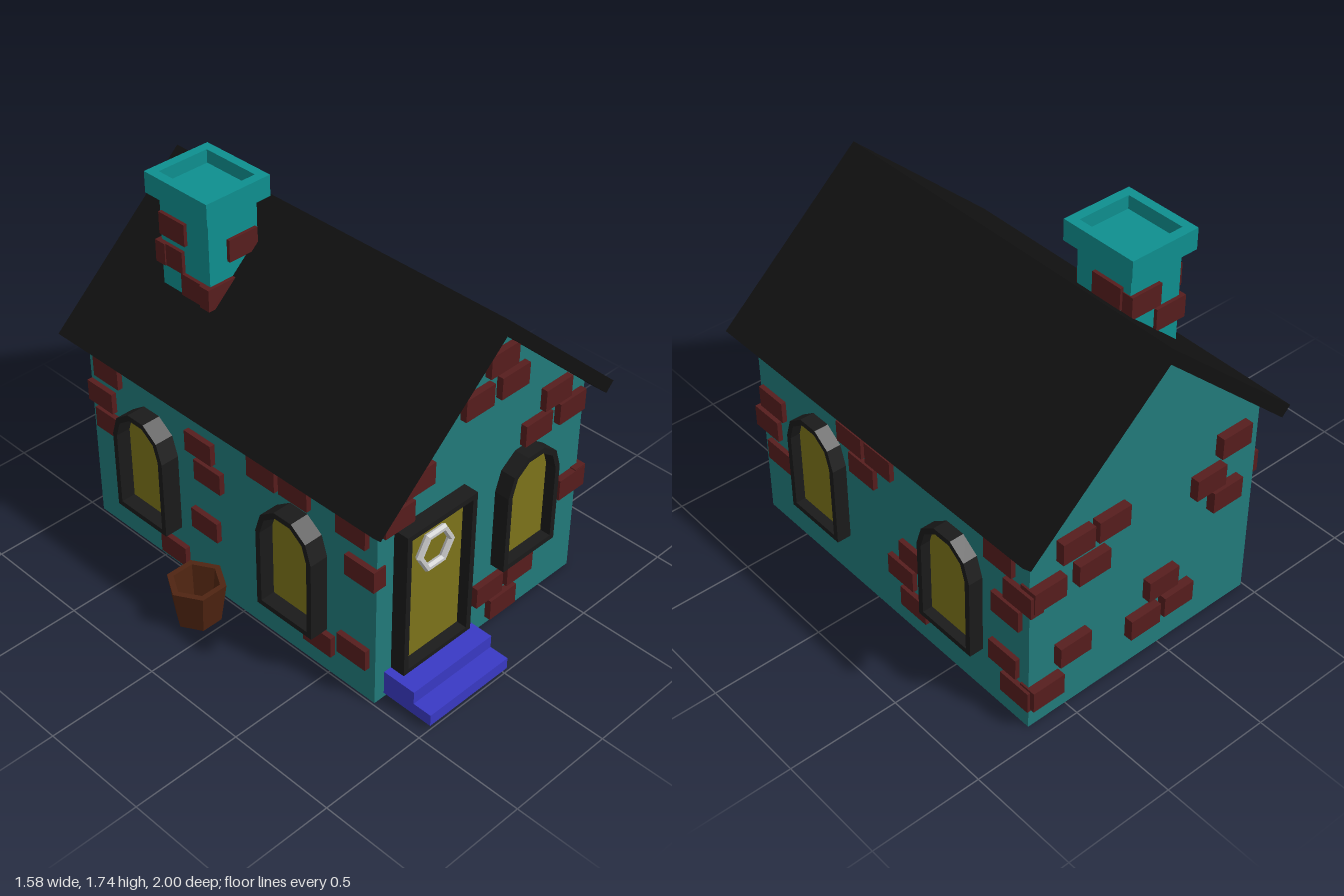
import * as THREE from 'three';

const mat = (color, extra = {}) => new THREE.MeshStandardMaterial({ color, flatShading: true, ...extra });
const M = {
  wall: mat(0x217a7a), chimney: mat(0x0e8f8f), brick: mat(0x561d1d), roof: mat(0x111111),
  frame: mat(0x1a1a1a), pane: mat(0x7c731a), step: mat(0x3939c4), ring: mat(0xcccccc),
  pot: mat(0x4f2411, { side: THREE.DoubleSide }),
};

function add(parent, name, geometry, material, x = 0, y = 0, z = 0) {
  const mesh = new THREE.Mesh(geometry, material);
  mesh.name = name;
  mesh.position.set(x, y, z);
  parent.add(mesh);
  return mesh;
}

const box = (w, h, d) => new THREE.BoxGeometry(w, h, d);
const shapeOf = (pts) => new THREE.Shape(pts.map(([x, y]) => new THREE.Vector2(x, y)));
const extrude = (shape, depth) => new THREE.ExtrudeGeometry(shape, { depth, bevelEnabled: false });

// Group lying on a wall: local +z points outward
function wallFace(parent, name, x, z, turn) {
  const face = new THREE.Group();
  face.name = name;
  face.position.set(x, 0, z);
  face.rotation.y = turn;
  parent.add(face);
  return face;
}

// Bricks at [u, y], with u measured along the wall in model axes
function addBricks(face, list, sign, out, w = 0.157) {
  for (const [u, y] of list) add(face, 'brick', box(w, 0.1, 0.04 + out), M.brick, u * sign, y, (out - 0.04) / 2);
}

// Opening outline: rectangle, or rectangle under a five-sided arch
function outline(r, bottom, top, arched) {
  if (!arched) return [[-r, bottom], [r, bottom], [r, top], [-r, top]];
  const spring = top - r * Math.sin(Math.PI * 0.4);
  const pts = [[-r, bottom], [r, bottom]];
  for (let i = 0; i <= 5; i++) {
    const a = (i * Math.PI) / 5;
    pts.push([r * Math.cos(a), spring + r * Math.sin(a)]);
  }
  return pts;
}

// Raised frame with a recessed panel
function addOpening(face, name, u, r, bottom, top, arched, out) {
  const group = new THREE.Group();
  group.name = name;
  group.position.x = u;
  const t = 0.025;
  const inner = outline(r - t, bottom + t, top - t, arched);
  const rim = shapeOf(outline(r, bottom, top, arched));
  rim.holes.push(new THREE.Path(inner.map(([x, y]) => new THREE.Vector2(x, y))));
  add(group, name + 'Frame', extrude(rim, out + 0.01), M.frame, 0, 0, -0.01);
  add(group, name + 'Panel', extrude(shapeOf(inner), 0.03), M.pane, 0, 0, -0.01);
  face.add(group);
}

export function createModel() {
  const house = new THREE.Group();
  house.name = 'cottage';

  // Gabled walls
  add(house, 'walls', extrude(shapeOf([[-0.49, 0], [0.69, 0], [0.69, 0.975], [0.1, 1.52], [-0.49, 0.975]]), 1.68),
    M.wall, 0, 0, -0.93);

  // Roof slabs
  add(house, 'roof', extrude(shapeOf([[0.1, 1.575], [-0.588, 0.955], [-0.548, 0.913], [0.1, 1.503],
    [0.748, 0.913], [0.788, 0.955]]), 1.82), M.roof, 0, 0, -1);

  // Front wall: door with ring, window, bricks
  const front = wallFace(house, 'frontWall', 0, 0.75, 0);
  addOpening(front, 'door', -0.208, 0.193, 0.13, 0.84, false, 0.07);
  add(front, 'doorRing', new THREE.TorusGeometry(0.088, 0.016, 6, 6), M.ring, -0.208, 0.66, 0.035);
  addOpening(front, 'frontWindow', 0.328, 0.155, 0.315, 0.84, true, 0.07);
  addBricks(front, [[0.15, 1.35], [0.02, 1.22], [0.22, 1.22], [-0.295, 1.025], [-0.4, 0.905], [0.495, 1.02],
    [0.385, 0.905], [0.59, 0.905], [0.63, 0.495], [0.145, 0.21], [0.33, 0.215], [0.235, 0.09]], 1, 0.03);

  // Right-hand wall on +x
  const plus = wallFace(house, 'leftWall', 0.69, 0, Math.PI / 2);
  for (const z of [0.33, -0.51]) addOpening(plus, 'sideWindow', -z, 0.155, 0.22, 0.747, true, 0.065);
  addBricks(plus, [[0.115, 0.785], [-0.065, 0.785], [0.045, 0.67], [0.655, 0.63], [0.7, 0.5], [0.63, 0.36],
    [-0.26, 0.41], [-0.185, 0.285], [-0.26, 0.16], [-0.775, 0.795], [-0.885, 0.67], [-0.815, 0.55],
    [-0.8, 0.285], [-0.87, 0.16]], -1, 0.022);

  // Opposite wall on -x
  const minus = wallFace(house, 'rightWall', -0.49, 0, -Math.PI / 2);
  for (const z of [0.33, -0.54]) addOpening(minus, 'sideWindow', z, 0.155, 0.22, 0.747, true, 0.088);
  addBricks(minus, [[-0.8, 0.82], [-0.85, 0.67], [-0.81, 0.55], [-0.42, 0.09], [-0.23, 0.74], [-0.18, 0.62],
    [-0.21, 0.35], [0.14, 0.82], [0.32, 0.83], [0.63, 0.83], [0.68, 0.65], [0.64, 0.22], [0.45, 0.16]], 1, 0.025);

  // Back wall
  const back = wallFace(house, 'backWall', 0, -0.93, Math.PI);
  addBricks(back, [[0.484, 0.85], [0.305, 0.85], [0.62, 0.69], [0.4, 0.69], [-0.336, 0.89], [-0.21, 0.75],
    [-0.31, 0.63], [0.484, 0.315], [0.62, 0.17], [0.02, 0.36], [0.11, 0.21], [-0.07, 0.22]], -1, 0.04);

  // Chimney shaft and hollow cap
  const chimney = new THREE.Group();
  chimney.name = 'chimney';
  chimney.position.set(-0.157, 0, -0.517);
  house.add(chimney);
  add(chimney, 'shaft', box(0.256, 0.72, 0.284), M.chimney, 0, 1.32, 0);
  const cap = shapeOf([[-0.165, -0.182], [0.165, -0.182], [0.165, 0.182], [-0.165, 0.182]]);
  cap.holes.push(new THREE.Path([[-0.124, -0.14], [0.124, -0.14], [0.124, 0.14], [-0.124, 0.14]]
    .map(([x, y]) => new THREE.Vector2(x, y))));
  add(chimney, 'cap', extrude(cap, 0.095), M.chimney, 0, 1.74, 0).rotation.x = Math.PI / 2;

  // Chimney bricks, one face at a time
  const shaftFaces = [
    [0, 0.142, 0, [[0.04, 1.465], [-0.078, 1.285]]],
    [0, -0.142, Math.PI, [[-0.057, 1.5], [0.075, 1.385]]],
    [-0.128, 0, -Math.PI / 2, [[-0.06, 1.52], [0.06, 1.285], [-0.08, 1.385]]],
    [0.128, 0, Math.PI / 2, [[0.03, 1.52]]],
  ];
  for (const [x, z, turn, list] of shaftFaces) addBricks(wallFace(chimney, 'chimneyFace', x, z, turn), list, 1, 0.016, 0.15);

  // Door steps
  add(house, 'lowerStep', box(0.45, 0.055, 0.27), M.step, -0.213, 0.0475, 0.865);
  add(house, 'upperStep', box(0.45, 0.06, 0.18), M.step, -0.213, 0.105, 0.82);

  // Six-sided hollow pot
  const profile = [[0, 0.02], [0.1, 0.02], [0.128, 0.212], [0.1, 0.212], [0.082, 0.06], [0, 0.06]];
  const pot = add(house, 'pot', new THREE.LatheGeometry(profile.map(([x, y]) => new THREE.Vector2(x, y)), 6),
    M.pot, -0.661, 0, -0.1);
  pot.rotation.y = Math.PI / 6;

  return house;
}
